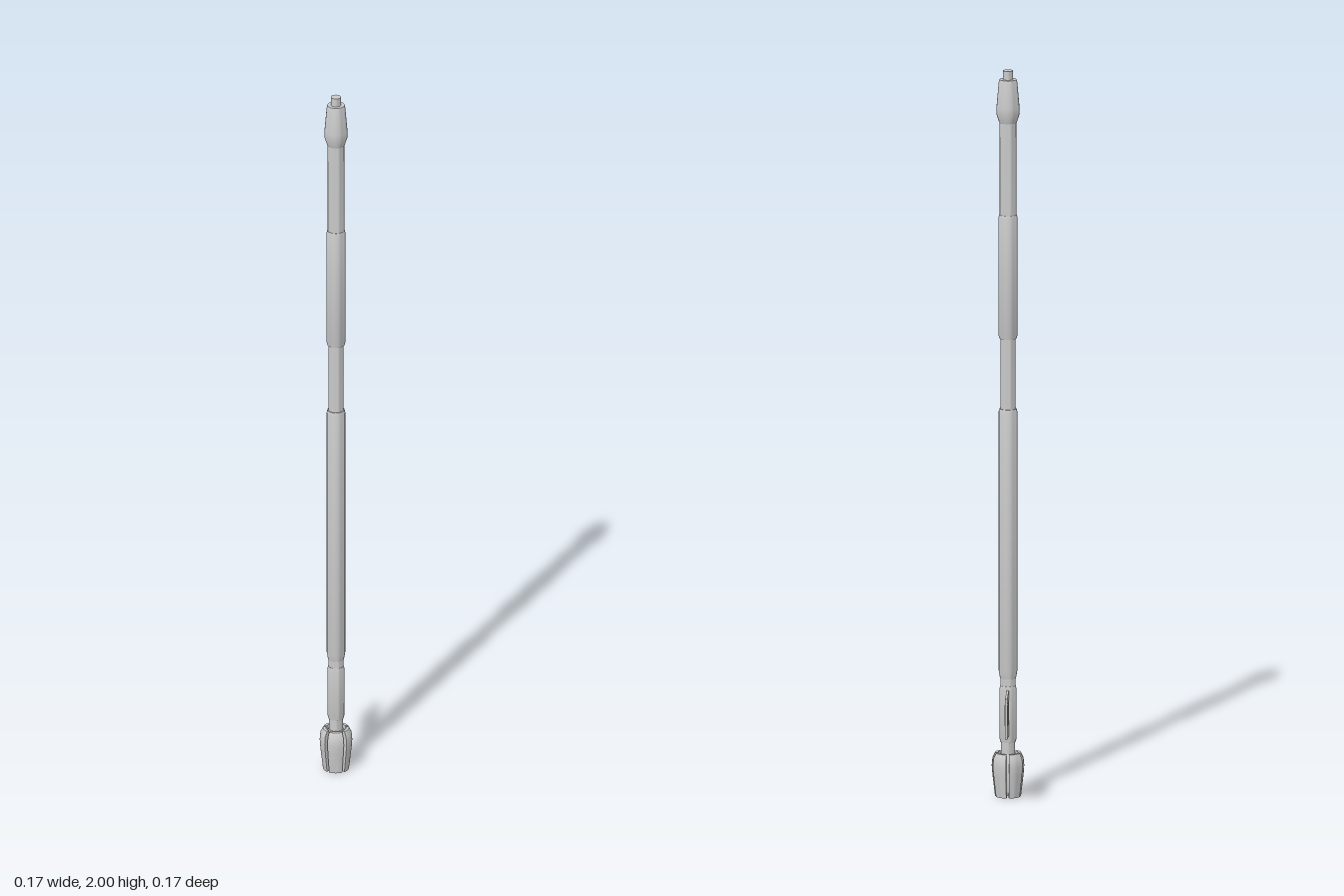
import * as THREE from 'three';
import { mergeGeometries, toCreasedNormals } from 'three/addons/utils/BufferGeometryUtils.js';

const material = new THREE.MeshStandardMaterial({ color: 0xcccccc });
const doubleMaterial = new THREE.MeshStandardMaterial({ color: 0xcccccc, side: THREE.DoubleSide });
const CREASE = Math.PI / 5;
const deg = THREE.MathUtils.degToRad;
const toPoints = (list) => list.map(([x, y]) => new THREE.Vector2(x, y));

function addMesh(parent, name, geometry, mat = material) {
  const mesh = new THREE.Mesh(geometry, mat);
  mesh.name = name;
  parent.add(mesh);
  return mesh;
}

// Turned part; profile is [radius, height] from bottom to top
function turned(profile) {
  return toCreasedNormals(new THREE.LatheGeometry(toPoints(profile), 24), CREASE);
}

// Closed wedge of a turned ring, with both cut faces filled in
function ringWedge(profile, start, length) {
  const points = toPoints(profile);
  const wall = new THREE.LatheGeometry([...points, points[0].clone()], 6, start, length);
  const cuts = [start, start + length].map((phi) =>
    new THREE.ShapeGeometry(new THREE.Shape(points)).rotateY(phi - Math.PI / 2));
  const parts = [wall, ...cuts].map((g) => g.toNonIndexed());
  return toCreasedNormals(mergeGeometries(parts), CREASE);
}

export function createModel() {
  const model = new THREE.Group();
  model.name = 'pole';

  const staff = new THREE.Group();
  staff.name = 'staff';
  staff.position.set(-0.043, 0, 0.041);
  model.add(staff);

  // Shaft sections, bottom to top
  addMesh(staff, 'lowerNeck', turned([[0, 0.1], [0.019, 0.1], [0.019, 0.17], [0, 0.17]]));
  addMesh(staff, 'vaneSleeve', turned([
    [0, 0.15], [0.021, 0.15], [0.023, 0.16], [0.023, 0.295], [0.021, 0.305], [0, 0.305]]));
  addMesh(staff, 'innerRod', turned([[0, 0.3], [0.0205, 0.3], [0.0205, 1.62], [0, 1.62]]));
  addMesh(staff, 'lowerGrip', turned([
    [0, 0.325], [0.0215, 0.325], [0.025, 0.345], [0.025, 1.06], [0.023, 1.068], [0, 1.068]]));
  addMesh(staff, 'upperGrip', turned([
    [0, 1.262], [0.0235, 1.262], [0.0255, 1.27], [0.0255, 1.595], [0.0235, 1.603], [0, 1.603]]));
  addMesh(staff, 'upperShaft', turned([[0, 1.59], [0.0225, 1.59], [0.0225, 1.87], [0, 1.87]]));

  // Tapered top with its small tip
  addMesh(staff, 'topCap', turned([
    [0, 1.857], [0.0235, 1.857], [0.031, 1.88], [0.031, 1.9], [0.025, 1.968], [0.023, 1.976], [0, 1.976]]));
  addMesh(staff, 'tip', turned([[0, 1.97], [0.0135, 1.97], [0.0135, 2], [0, 2]]));

  // Foot: core surrounded by five curved segments
  addMesh(staff, 'footCore', turned([
    [0, 0.004], [0.024, 0.004], [0.029, 0.03], [0.029, 0.1], [0.02, 0.118], [0, 0.118]]));
  const segment = [
    [0.022, 0], [0.035, 0], [0.042, 0.06], [0.044, 0.085], [0.042, 0.106], [0.035, 0.12], [0.027, 0.12], [0.027, 0.03]];
  for (let i = 0; i < 5; i++) {
    const start = deg(99 - 30 + i * 72);
    addMesh(staff, 'footSegment' + (i + 1), ringWedge(segment, start, deg(60)), doubleMaterial);
  }

  // Side vane reaching diagonally out toward the back left
  const vane = new THREE.Group();
  vane.name = 'vane';
  vane.rotation.y = Math.PI / 4;
  staff.add(vane);
  const outline = new THREE.Shape(toPoints([[0.015, 0.168], [0.18, 0.196], [0.18, 0.307], [0.015, 0.294]]));
  const blade = new THREE.ExtrudeGeometry(outline, { depth: 0.006, bevelEnabled: false });
  addMesh(vane, 'vaneBlade', blade.translate(0, 0, -0.003));
  // Raised panel showing on both faces of the blade
  const panel = addMesh(vane, 'vanePanel', new THREE.BoxGeometry(0.068, 0.054, 0.0095));
  panel.position.set(0.13, 0.257, 0);

  return model;
}
